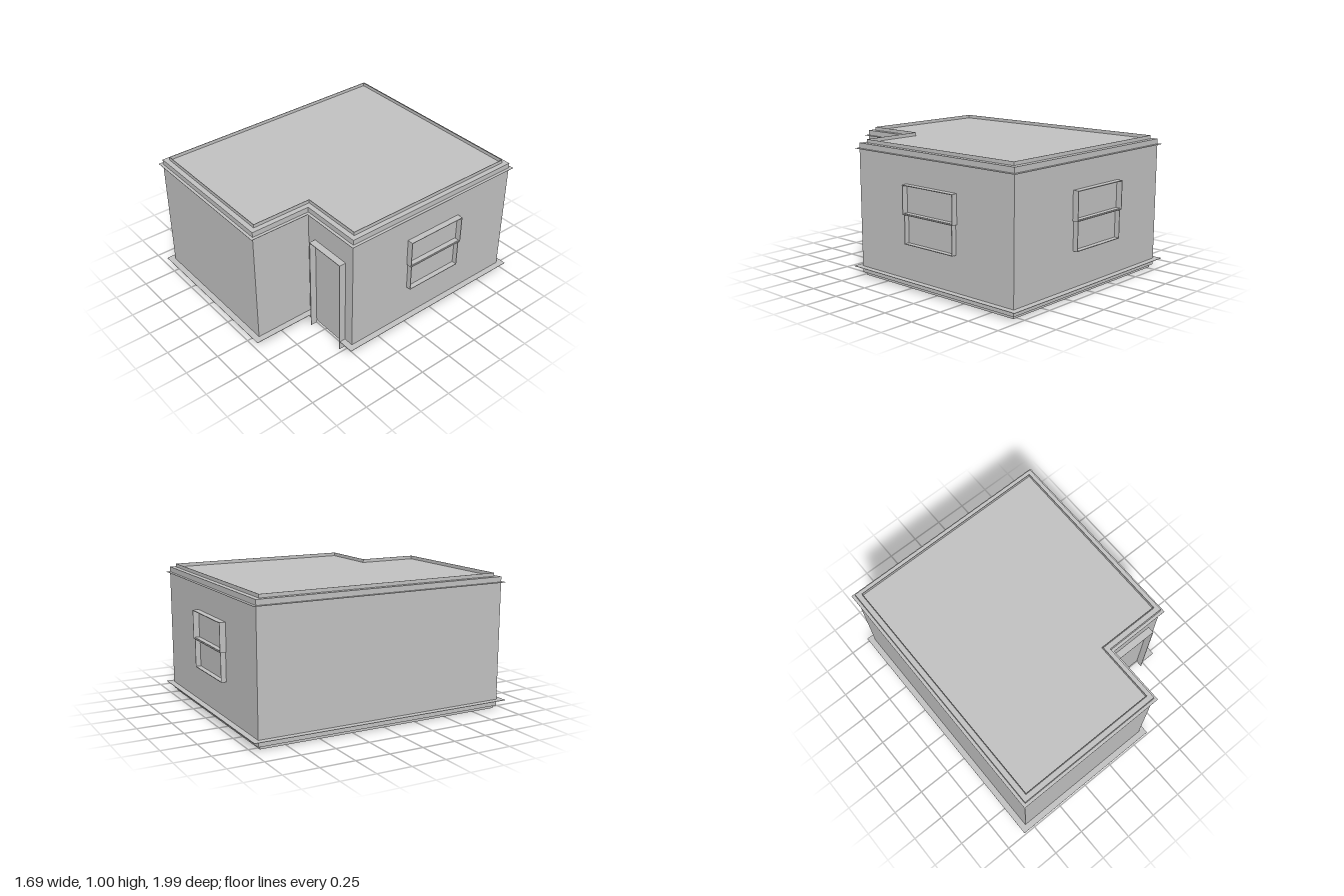
import * as THREE from 'three';

const wallGrey = new THREE.MeshStandardMaterial({ color: 0xc0c0c0, side: THREE.DoubleSide });
wallGrey.name = 'wall grey';

// L-shaped floor plan, grown outward by o; starts and ends on the porch wall
const plan = (o) => [
  [0.8 + o, 0.5 + o], [0.8 + o, -0.952 - o], [-0.8 - o, -0.952 - o],
  [-0.8 - o, 0.952 + o], [0.33 + o, 0.952 + o], [0.33 + o, 0.5 + o],
];
const toPoints = (list) => list.map(([x, z]) => new THREE.Vector2(x, -z));

function addMesh(parent, name, geometry) {
  const mesh = new THREE.Mesh(geometry, wallGrey);
  mesh.name = name;
  parent.add(mesh);
  return mesh;
}

// Upright prism from a plan shape, between two heights
function prism(shape, y0, y1) {
  return new THREE.ExtrudeGeometry(shape, { depth: y1 - y0, bevelEnabled: false })
    .rotateX(-Math.PI / 2).translate(0, y0, 0);
}

function slab(o, y0, y1) {
  return prism(new THREE.Shape(toPoints(plan(o))), y0, y1);
}

function ring(outer, inner, y0, y1) {
  const shape = new THREE.Shape(toPoints(plan(outer)));
  shape.holes.push(new THREE.Path(toPoints(plan(inner))));
  return prism(shape, y0, y1);
}

// Thin ledge that is interrupted by the doorway
function brokenRing(o, x0, x1, y0, y1) {
  const side = (d) => [[x1, 0.5 + d], ...plan(d), [x0, 0.5 + d]];
  return prism(new THREE.Shape(toPoints([...side(o), ...side(-0.002).reverse()])), y0, y1);
}

// Bar in wall space: x across, y up, z out from the wall
function bar(parent, name, x0, x1, y0, y1, depth) {
  const g = new THREE.BoxGeometry(x1 - x0, y1 - y0, depth);
  g.translate((x0 + x1) / 2, (y0 + y1) / 2, depth / 2);
  return addMesh(parent, name, g);
}

// Thin boards around an opening
function frame(parent, name, w, y0, y1, depth, hasBottom) {
  const t = 0.005;
  for (const s of [-1, 1]) {
    const x = s * (w / 2 - t / 2);
    bar(parent, name + 'Side', x - t / 2, x + t / 2, y0, y1, depth);
  }
  bar(parent, name + 'Top', -w / 2, w / 2, y1 - t, y1, depth);
  if (hasBottom) bar(parent, name + 'Bottom', -w / 2, w / 2, y0, y0 + t, depth);
}

// Two-sash window, the upper sash a little larger and deeper
function makeWindow(name, width) {
  const win = new THREE.Group();
  win.name = name;
  frame(win, 'lowerSash', width - 0.02, 0.327, 0.545, 0.037, true);
  frame(win, 'upperSash', width, 0.535, 0.743, 0.044, true);
  return win;
}

export function createModel() {
  const house = new THREE.Group();
  house.name = 'house';

  // Body, stepped foot and roof rim
  addMesh(house, 'foot', slab(-0.018, 0, 0.022));
  addMesh(house, 'walls', slab(0, 0.022, 0.975));
  addMesh(house, 'roofRim', ring(-0.037, -0.041, 0.975, 1.0));

  // Projecting ledges
  addMesh(house, 'baseLedge', brokenRing(0.045, 0.4, 0.725, 0.066, 0.069));
  addMesh(house, 'cornice', ring(0.022, -0.002, 0.934, 0.937));

  // Door surround in the notch
  const door = new THREE.Group();
  door.name = 'door';
  frame(door, 'doorFrame', 0.325, 0, 0.745, 0.05, false);
  door.position.set(0.5625, 0, 0.5);
  house.add(door);

  // Windows on the left and back walls
  const sideWindow = makeWindow('sideWindow', 0.475);
  sideWindow.rotation.y = Math.PI / 2;
  sideWindow.position.set(0.8, 0, -0.223);
  const backWindow = makeWindow('backWindow', 0.505);
  backWindow.rotation.y = Math.PI;
  backWindow.position.set(-0.045, 0, -0.952);
  house.add(sideWindow, backWindow);

  return house;
}
